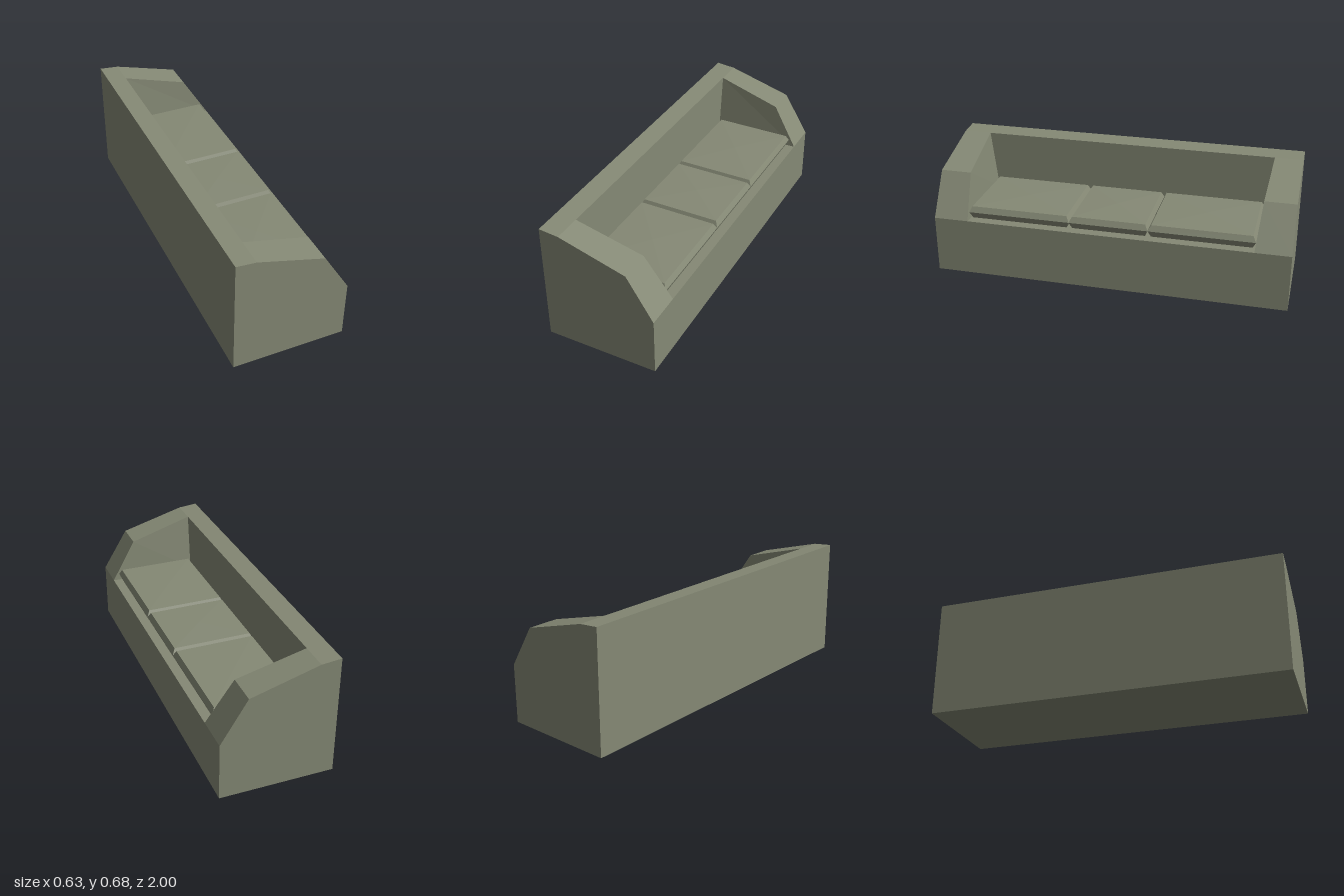
import * as THREE from 'three';

// Flat-shaded geometry from convex polygons, each fan-triangulated from its first corner
function facets(polygons) {
  const pos = [];
  for (const p of polygons) {
    for (let i = 1; i < p.length - 1; i++) pos.push(...p[0], ...p[i], ...p[i + 1]);
  }
  const g = new THREE.BufferGeometry();
  g.setAttribute('position', new THREE.Float32BufferAttribute(pos, 3));
  g.computeVertexNormals();
  return g;
}

export function createModel() {
  const sofa = new THREE.Group();
  sofa.name = 'sofa';
  const fabric = new THREE.MeshStandardMaterial({ color: 0x858975 });
  fabric.name = 'olive grey fabric';

  const add = (name, polygons) => {
    const mesh = new THREE.Mesh(facets(polygons), fabric);
    mesh.name = name;
    sofa.add(mesh);
  };

  // Side profile corners, from the rear foot over the back and arm to the front foot
  const A = [-0.314, 0], B = [-0.314, 0.675], C = [-0.204, 0.665];
  const D = [0.167, 0.56], E = [0.313, 0.325], F = [0.313, 0];
  const S = [-0.204, 0.325]; // rear edge of the seat deck
  const at = (p, z) => [p[0], p[1], z];
  const zC = 0.842, zD = 0.825, zE = 0.803; // flared inner faces of the arms

  // Base with underside, front panel and seat deck
  add('base', [
    [at(A, -1), at(F, -1), at(F, 1), at(A, 1)],
    [at(F, 1), at(F, -1), at(E, -1), at(E, 1)],
    [at(S, zE), at(E, zE), at(E, -zE), at(S, -zE)],
  ]);

  // Backrest: rear panel, top edge and inner face
  add('backrest', [
    [at(A, -1), at(A, 1), at(B, 1), at(B, -1)],
    [at(B, 1), at(C, 1), at(C, -1), at(B, -1)],
    [at(S, zE), at(S, -zE), at(C, -zC), at(C, zC)],
  ]);

  // Arms, mirrored across z
  for (const s of [1, -1]) {
    const polygons = [
      [A, F, E, D, C, B].map(p => at(p, s)),
      [at(C, s), at(D, s), at(D, s * zD), at(C, s * zC)],
      [at(D, s), at(E, s), at(E, s * zE), at(D, s * zD)],
      [at(S, s * zE), at(C, s * zC), at(D, s * zD), at(E, s * zE)],
    ];
    add(s > 0 ? 'rightArm' : 'leftArm', s > 0 ? polygons : polygons.map(p => p.reverse()));
  }

  // Cushions: bevelled above and below the widest line, with a slightly domed top
  const cushion = (name, z0, z1) => {
    const x0 = -0.2, x1 = 0.275;
    const ring = (y, d) => [
      [x0 + d, y, z1 - d], [x1 - d, y, z1 - d], [x1 - d, y, z0 + d], [x0 + d, y, z0 + d],
    ];
    const rings = [ring(0.327, 0.016), ring(0.364, 0), ring(0.396, 0.016)];
    const crown = [(x0 + x1) / 2, 0.402, (z0 + z1) / 2];
    const polygons = [[...rings[0]].reverse()];
    for (let i = 0; i < 4; i++) {
      const j = (i + 1) % 4;
      for (let k = 0; k < 2; k++) {
        polygons.push([rings[k][i], rings[k][j], rings[k + 1][j], rings[k + 1][i]]);
      }
      polygons.push([rings[2][i], rings[2][j], crown]);
    }
    add(name, polygons);
  };
  cushion('leftCushion', -0.805, -0.222);
  cushion('middleCushion', -0.222, 0.222);
  cushion('rightCushion', 0.222, 0.805);

  return sofa;
}
